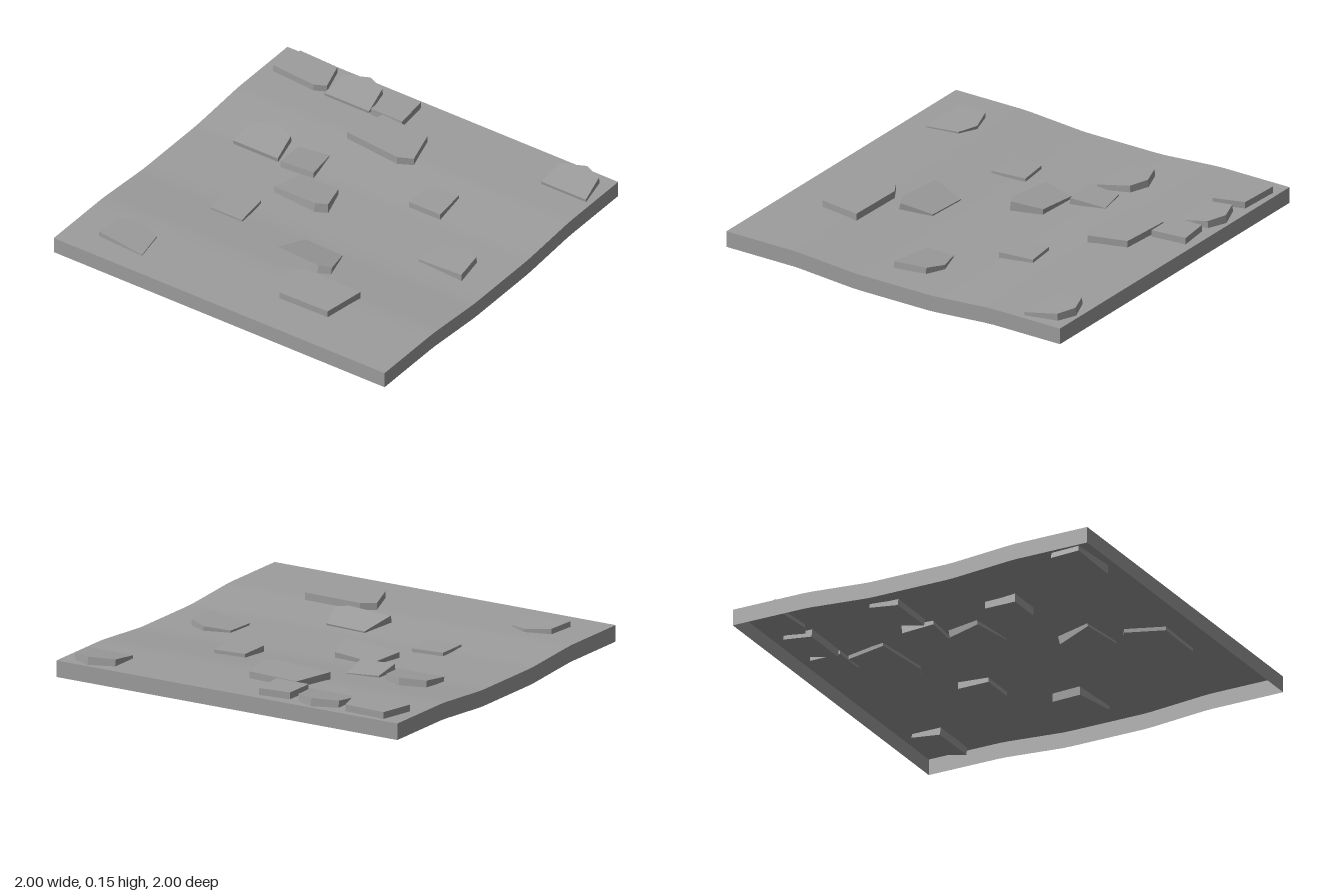
import * as THREE from 'three';

const material = new THREE.MeshStandardMaterial({ color: 0x9d9d9d, side: THREE.DoubleSide });

// Outlines of the three kinds of stone, as [x, z] around their centre
const outlines = {
  slab: [[-0.15, 0.08], [-0.11, -0.1], [0.12, -0.09], [0.17, 0.07], [0.11, 0.1]],
  house: [[-0.13, 0.1], [-0.13, -0.06], [0, -0.11], [0.1, -0.07], [0.14, 0.1]],
  quad: [[-0.09, 0.1], [-0.09, -0.07], [0.08, -0.09], [0.1, 0.1]],
};

// Each stone: kind, centre x, centre z, height of top, slope in x, slope in z, scale, turn
const stones = [
  ['slab', -0.79, -0.87, 0.145, 0, 0, 1, 0],
  ['slab', -0.12, -0.63, 0.145, 0, 0, 1.25, -0.02],
  ['slab', -0.21, -0.06, 0.117, 0.06, 0.1, 1, 0],
  ['slab', 0.12, 0.375, 0.12, 0, 0.24, 1, 0],
  ['slab', 0.35, 0.655, 0.145, 0, 0, 1.25, Math.PI + 0.06],
  ['house', -0.48, -0.865, 0.138, 0, -0.12, 1, 0],
  ['house', 0.83, -0.865, 0.138, 0, -0.12, 1, 0],
  ['house', -0.63, -0.295, 0.121, 0, -0.13, 1, 0],
  ['house', 0.7, 0, 0.108, 0.09, 0, 1, -0.06],
  ['house', -0.69, 0.765, 0.127, -0.08, 0, 1, -0.06],
  ['quad', -0.24, -0.865, 0.145, 0, 0, 1, 0],
  ['quad', 0.35, -0.355, 0.118, 0, 0, 1, 0],
  ['quad', -0.375, -0.28, 0.109, 0, 0.1, 1, 0.08],
  ['quad', -0.435, 0.23, 0.103, 0, 0, 1, 0],
];

// Ground height: level at front and back, with a shallow trough across the middle
function groundHeight(z) {
  const t = THREE.MathUtils.clamp((Math.abs(z) - 0.23) / 0.35, 0, 1);
  return 0.085 + 0.025 * t;
}

function makeGround() {
  const geometry = new THREE.PlaneGeometry(2, 2, 4, 40).rotateX(-Math.PI / 2);
  const p = geometry.attributes.position;
  for (let i = 0; i < p.count; i++) p.setY(i, groundHeight(p.getZ(i)));
  geometry.computeVertexNormals();
  return new THREE.Mesh(geometry, material);
}

// Skirt wall of constant depth, hanging from the edge of the ground
function makeSkirt(turn) {
  const geometry = new THREE.PlaneGeometry(2, 1, 40, 1).translate(0, 0, 1).rotateY(turn);
  const p = geometry.attributes.position;
  for (let i = 0; i < p.count; i++) {
    p.setY(i, groundHeight(p.getZ(i)) - (p.getY(i) < 0 ? 0.085 : 0));
  }
  geometry.computeVertexNormals();
  return new THREE.Mesh(geometry, material);
}

// Closed prism tilted to its slopes, partly sunk in the ground
function makeStone([kind, x, z, top, slopeX, slopeZ, scale, turn]) {
  const thickness = 0.055;
  const shape = new THREE.Shape(outlines[kind].map(([a, b]) => new THREE.Vector2(a, -b)));
  const geometry = new THREE.ExtrudeGeometry(shape, { depth: 1, bevelEnabled: false });
  geometry.rotateX(-Math.PI / 2).scale(scale, 1, scale).rotateY(turn);
  const normal = new THREE.Vector3(-slopeX, 1, -slopeZ).normalize();
  const p = geometry.attributes.position;
  for (let i = 0; i < p.count; i++) {
    const down = p.getY(i) < 0.5 ? thickness : 0;
    const px = p.getX(i), pz = p.getZ(i);
    p.setXYZ(i, px - normal.x * down, slopeX * px + slopeZ * pz - normal.y * down, pz - normal.z * down);
  }
  geometry.computeVertexNormals();
  const mesh = new THREE.Mesh(geometry, material);
  mesh.position.set(x, top, z);
  return mesh;
}

export function createModel() {
  const model = new THREE.Group();
  model.name = 'stonyGroundTile';
  const add = (name, mesh) => {
    mesh.name = name;
    model.add(mesh);
  };
  add('ground', makeGround());
  ['frontSkirt', 'leftSkirt', 'backSkirt', 'rightSkirt'].forEach((name, i) => add(name, makeSkirt(i * Math.PI / 2)));
  stones.forEach((stone, i) => add(`${stone[0]}Stone${i + 1}`, makeStone(stone)));
  return model;
}
